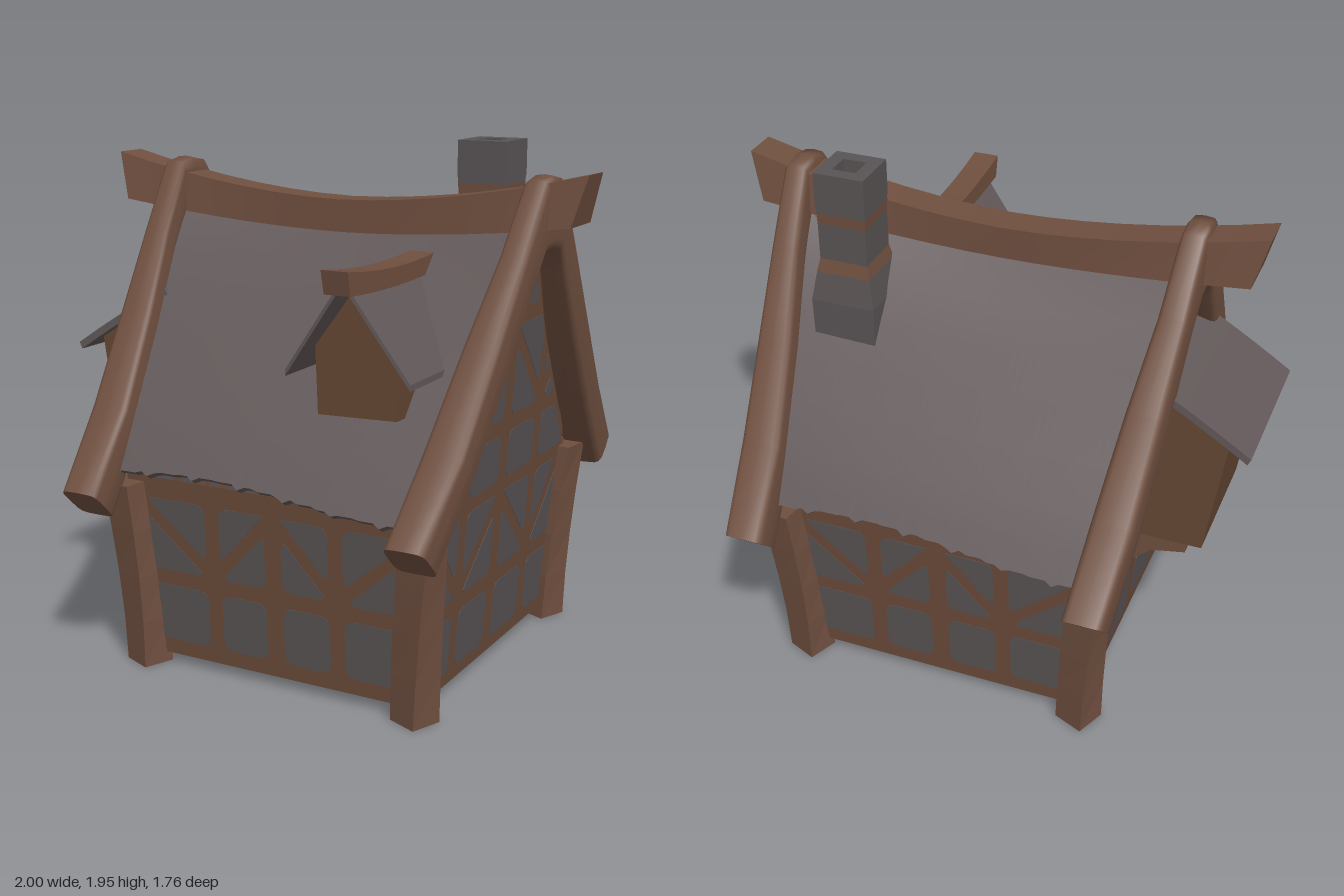
import * as THREE from 'three';

const material = (name, color, side = THREE.FrontSide) => {
  const m = new THREE.MeshStandardMaterial({ color, side });
  m.name = name;
  return m;
};

function add(parent, name, geometry, mat) {
  const mesh = new THREE.Mesh(geometry, mat);
  mesh.name = name;
  parent.add(mesh);
  return mesh;
}

// Moves every vertex by a rule; flat facets unless smooth
function morph(geometry, rule, smooth = false) {
  const g = smooth || !geometry.index ? geometry : geometry.toNonIndexed();
  const p = g.attributes.position;
  for (let i = 0; i < p.count; i++) p.setXYZ(i, ...rule(p.getX(i), p.getY(i), p.getZ(i)));
  g.computeVertexNormals();
  return g;
}

const polygon = pts => new THREE.Shape(pts.map(p => new THREE.Vector2(...p)));
const extrude = (shape, depth) => new THREE.ExtrudeGeometry(shape, { depth, bevelEnabled: false, curveSegments: 3 });

// Keeps the part of a convex polygon where nx*x + ny*y <= d
function clip(poly, nx, ny, d) {
  const out = [];
  poly.forEach((a, i) => {
    const b = poly[(i + 1) % poly.length];
    const da = nx * a[0] + ny * a[1] - d, db = nx * b[0] + ny * b[1] - d;
    if (da <= 0) out.push(a);
    if (da * db < 0) {
      const t = da / (da - db);
      out.push([a[0] + (b[0] - a[0]) * t, a[1] + (b[1] - a[1]) * t]);
    }
  });
  return out;
}

// Keeps what lies at least m to the left of the line a-b
function clipLine(poly, a, b, m) {
  const dx = b[0] - a[0], dy = b[1] - a[1], l = Math.hypot(dx, dy);
  return clip(poly, dy / l, -dx / l, (dy * a[0] - dx * a[1]) / l - m);
}

const area = poly => Math.abs(poly.reduce((s, a, i) => {
  const b = poly[(i + 1) % poly.length];
  return s + a[0] * b[1] - b[0] * a[1];
}, 0)) / 2;

function rounded(poly, r) {
  const s = new THREE.Shape();
  poly.forEach((p, i) => {
    const toward = q => {
      const l = Math.hypot(q[0] - p[0], q[1] - p[1]) || 1, f = Math.min(0.4, r / l);
      return [p[0] + (q[0] - p[0]) * f, p[1] + (q[1] - p[1]) * f];
    };
    const a = toward(poly[(i + poly.length - 1) % poly.length]), b = toward(poly[(i + 1) % poly.length]);
    if (i) s.lineTo(...a); else s.moveTo(...a);
    s.quadraticCurveTo(...p, ...b);
  });
  s.closePath();
  return s;
}

// Timber-framed wall: wooden sheet with rounded infill panels showing on both faces
function timberWall(name, outline, post, rows, mats) {
  const wall = new THREE.Group();
  wall.name = name;
  add(wall, 'timberFrame', new THREE.ShapeGeometry(polygon(outline)), mats.frame);
  const columns = [[-0.7, -post - 0.03], [-post + 0.03, -0.035], [0.035, post - 0.03], [post + 0.03, 0.7]];
  for (const [y0, y1, braced] of rows) for (const [x0, x1] of columns) {
    let cell = [[x0, y0], [x1, y0], [x1, y1], [x0, y1]];
    outline.forEach((a, i) => { cell = clipLine(cell, a, outline[(i + 1) % outline.length], 0.03); });
    let parts = [cell];
    if (braced) {
      // diagonal brace rising from the foot of the nearest stud
      const mid = (x0 + x1) / 2, side = Math.sign(mid);
      const a = [side * post, y0], b = [Math.abs(mid) < post ? 0 : side * 0.58, y1];
      parts = [clipLine(cell, a, b, 0.024), clipLine(cell, b, a, 0.024)];
    }
    for (const part of parts) {
      if (part.length < 3 || area(part) < 0.002) continue;
      add(wall, 'infillPanel', extrude(rounded(part, 0.04), 0.003), mats.infill).position.z = -0.0015;
    }
  }
  return wall;
}

export function createModel() {
  const model = new THREE.Group();
  model.name = 'cottage';
  const wood = material('timber', 0x6f4f3f);
  const frame = material('wall timber', 0x6a4a3a, THREE.DoubleSide);
  const infill = material('stone infill', 0x595354);
  const roofing = material('roof slate', 0x625859, THREE.DoubleSide);
  const plank = material('plank', 0x654733);
  const mats = { frame, infill };

  const house = new THREE.Group();
  house.name = 'house';
  house.position.x = 0.065;
  model.add(house);

  // Four walls, leaning slightly outward
  const longOutline = [[-0.58, 0.04], [0.58, 0.04], [0.62, 0.74], [-0.62, 0.74]];
  const gableOutline = [[-0.58, 0.04], [0.58, 0.04], [0.61, 0.78], [0.08, 1.65], [-0.08, 1.65], [-0.61, 0.78]];
  const longRows = [[0.1, 0.32], [0.38, 0.66, true]];
  const gableRows = [[0.09, 0.31], [0.37, 0.68, true], [0.73, 0.91], [0.97, 1.31, true], [1.37, 1.56]];
  ['frontWall', 'leftGable', 'backWall', 'rightGable'].forEach((name, i) => {
    const gable = i % 2 === 1;
    const wall = gable ? timberWall(name, gableOutline, 0.315, gableRows, mats)
      : timberWall(name, longOutline, 0.255, longRows, mats);
    const turn = i * Math.PI / 2, d = gable ? 0.56 : 0.575;
    wall.rotation.order = 'YXZ';
    wall.rotation.set(gable ? 0.075 : 0.06, turn, 0);
    wall.position.set(Math.sin(turn) * d, 0, Math.cos(turn) * d);
    house.add(wall);
  });

  // Slender corner posts, twisted at the foot and bending outward toward the top
  for (const sx of [-1, 1]) for (const sz of [-1, 1]) {
    add(house, 'cornerPost', morph(new THREE.BoxGeometry(2, 2, 2, 1, 4, 1), (x, y, z) => {
      const k = Math.max(0, (y + 1) / 2), lean = 0.05 * k ** 1.6, h = 0.061;
      const a = 0.4 - 0.25 * k, c = Math.cos(a) * h, s = Math.sin(a) * h;
      return [sx * (0.56 + lean) + x * c - z * s, k * 0.715, sz * (0.588 + lean) + z * c + x * s];
    }), wood);
  }

  // Roof slopes: sagging slabs with a ragged, stepped eave
  const slope = new THREE.CatmullRomCurve3([[0.7, 0.76], [0.585, 0.94], [0.365, 1.25], [0.18, 1.515], [0.04, 1.675]]
    .map(([z, y]) => new THREE.Vector3(0, y, z)));
  const columns = 48;
  const ragged = i => 0.024 * Math.sin(Math.floor(i / 3) * 12.9) - (i % 7 ? 0 : 0.012);
  for (const turn of [0, Math.PI]) {
    const geo = morph(new THREE.BoxGeometry(2, 1, 1, columns, 8, 1), (x, y, z) => {
      const t = THREE.MathUtils.clamp(y + 0.5, 0, 1), p = slope.getPoint(t);
      const jag = t < 0.01 ? ragged(Math.round((x + 1) * columns / 2)) : 0;
      const sag = 0.07 * t * t * (1 - x * x);
      return [x * (0.655 + 0.1 * t), p.y - sag + jag + z * 0.016, p.z - jag * 0.6 + z * 0.025];
    }, true);
    add(house, turn ? 'backRoof' : 'frontRoof', geo.rotateY(turn), roofing);
  }

  // Gable beams: soft-edged timbers [outer z, outer y, inner z, inner y, x, half width]
  const stations = [
    [0, 1.85, 0, 1.59, 0.75, 0.05], [0.075, 1.835, 0.075, 1.58, 0.75, 0.05], [0.24, 1.59, 0.135, 1.485, 0.735, 0.055],
    [0.43, 1.31, 0.315, 1.2, 0.705, 0.07], [0.65, 0.99, 0.53, 0.89, 0.675, 0.08], [0.88, 0.725, 0.76, 0.61, 0.65, 0.078]];
  const square = a => Math.sign(a) * Math.abs(a) ** 0.42;
  for (const side of [-1, 1]) {
    add(house, 'gableBeam', morph(new THREE.CylinderGeometry(1, 1, 2, 16, 10), (x, y, z) => {
      const i = Math.round(y * 5), [oz, oy, iz, iy, cx, w] = stations[Math.abs(i)];
      // clear rounding noise so the side mid-lines stay straight
      const u = square(Math.abs(x) < 1e-6 ? 0 : x), v = square(Math.abs(z) < 1e-6 ? 0 : z);
      return [side * cx + v * w, (oy + iy) / 2 + u * (oy - iy) / 2, Math.sign(i) * ((oz + iz) / 2 + u * (oz - iz) / 2)];
    }, true), wood);
  }

  // Sagging ridge beam with flared, slanted ends
  add(model, 'ridgeBeam', morph(new THREE.BoxGeometry(2, 2, 2, 14, 1, 1), (x, y, z) => {
    const k = Math.abs(x) ** 1.8, top = y > 0;
    const half = 0.064 + (top ? 0.004 : 0.033) * k;
    return [0.025 + x * (top ? 0.975 : 0.925), top ? 1.725 + 0.135 * k : 1.605 + 0.075 * k, z * half - 0.003];
  }), wood);

  // Dormer on the front slope, cut back along the main roof
  const dormer = new THREE.Group();
  dormer.name = 'dormer';
  model.add(dormer);
  const roofZ = y => 0.13 + (1.53 - y) * 0.66;
  const face = polygon([[0.235, 1.05], [0.54, 1.06], [0.555, 1.29], [0.395, 1.52], [0.225, 1.29]]);
  add(dormer, 'dormerBody', morph(extrude(face, 1), (x, y, z) => [x, y, z > 0.5 ? 0.575 : roofZ(y)]), plank);
  add(dormer, 'dormerRoof', morph(new THREE.BoxGeometry(1, 1, 1, 2, 1, 1), (x, y, z) => {
    const t = Math.abs(2 * x), h = 1.54 - 0.335 * t + 0.022 * y;
    return [0.395 + 0.475 * x, h, z > 0 ? 0.695 - 0.03 * t : roofZ(h)];
  }), roofing);
  add(dormer, 'dormerRidge', morph(new THREE.BoxGeometry(0.1, 1, 1, 1, 1, 6), (x, y, z) => {
    const t = z + 0.5, rise = 0.025 * (2 * t - 0.8) ** 2;
    return [0.402 + x, (y > 0 ? 1.556 : 1.495 - 0.01 * t) + rise * (y > 0 ? 0.85 : 0.5), 0.08 + t * (y > 0 ? 0.68 : 0.66)];
  }), wood);

  // Chimney: flared courses with wooden bands and an open top [y0, y1, half0, half1]
  const chimney = new THREE.Group();
  chimney.name = 'chimney';
  chimney.position.set(0.523, 0, -0.216);
  model.add(chimney);
  [[1.2, 1.45, 0.118, 0.122, infill], [1.45, 1.56, 0.122, 0.103, infill], [1.56, 1.61, 0.103, 0.092, wood],
    [1.61, 1.75, 0.092, 0.092, infill], [1.75, 1.79, 0.092, 0.094, wood], [1.79, 1.81, 0.094, 0.094, infill]]
    .forEach(([y0, y1, h0, h1, mat]) => {
      const g = new THREE.CylinderGeometry(h1 * Math.SQRT2, h0 * Math.SQRT2, y1 - y0, 4).rotateY(Math.PI / 4);
      add(chimney, 'chimneyCourse', morph(g, (x, y, z) => [x, y + (y0 + y1) / 2, z]), mat);
    });
  const box2 = h => [[-h, -h], [h, -h], [h, h], [-h, h]];
  const rim = polygon(box2(0.096));
  rim.holes.push(polygon(box2(0.045)));
  add(chimney, 'chimneyTop', extrude(rim, 0.135).rotateX(-Math.PI / 2), infill).position.y = 1.81;

  // Bay on the right gable with its lean-to roof and three brackets
  const bay = new THREE.Group();
  bay.name = 'bay';
  model.add(bay);
  const bayShape = polygon([[-0.84, 0.66], [-0.53, 0.66], [-0.53, 1.37], [-0.66, 1.325], [-0.79, 1.248], [-0.915, 1.165]]);
  add(bay, 'bayBody', extrude(bayShape, 0.52), plank).position.z = -0.255;
  add(bay, 'bayRoof', morph(new THREE.BoxGeometry(2, 0.025, 0.61, 6, 1, 1), (x, y, z) =>
    [-0.785 + 0.207 * x - y * 0.5, 1.243 + 0.125 * x + 0.008 * (1 - x * x) + y, z + 0.005], true), roofing);
  const bracket = polygon([[-0.78, 0.665], [-0.77, 0.585], [-0.64, 0.56], [-0.53, 0.46], [-0.53, 0.665]]);
  for (const z of [-0.17, 0.005, 0.18]) add(bay, 'bayBracket', extrude(bracket, 0.08), wood).position.z = z - 0.04;

  return model;
}
